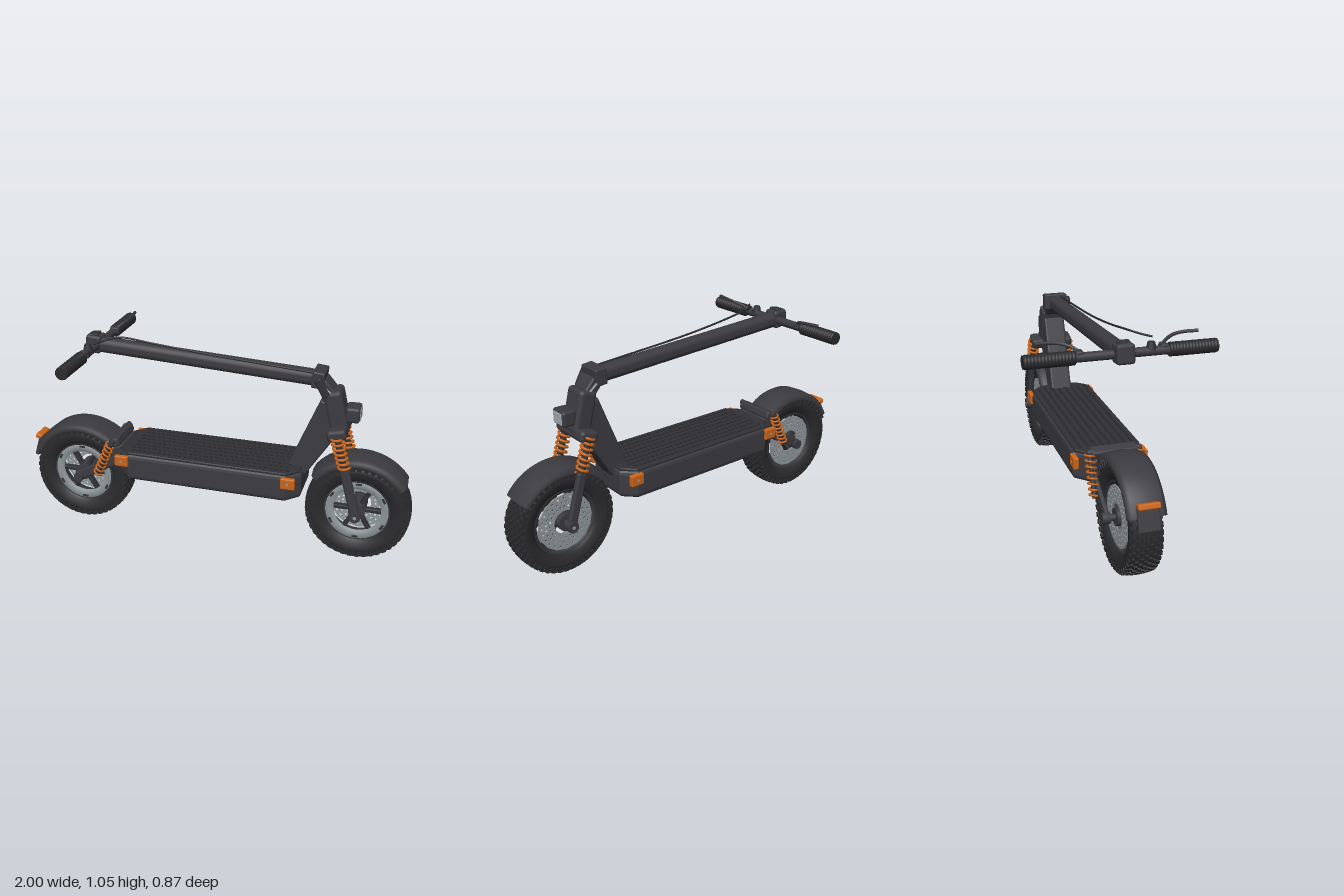
import * as THREE from 'three';
import { mergeGeometries } from 'three/addons/utils/BufferGeometryUtils.js';
import { RoundedBoxGeometry } from 'three/addons/geometries/RoundedBoxGeometry.js';

const V = (x, y, z) => new THREE.Vector3(x, y, z);

// Coil spring running along +y from 0 to length
class Helix extends THREE.Curve {
  constructor(radius, length, turns) { super(); Object.assign(this, { radius, length, turns }); }
  getPoint(t) {
    const a = t * this.turns * Math.PI * 2;
    return V(this.radius * Math.cos(a), t * this.length, this.radius * Math.sin(a));
  }
}

export function createModel() {
  const root = new THREE.Group();
  root.name = 'scooter';
  const mat = (name, color, side = THREE.FrontSide) => {
    const m = new THREE.MeshStandardMaterial({ color, side });
    m.name = name;
    return m;
  };
  const frame = mat('charcoal frame', 0x3c3b40);
  const shell = mat('charcoal shell', 0x3b3a3f, THREE.DoubleSide);
  const rubber = mat('black rubber', 0x2b2b2e);
  const mid = mat('dark plastic', 0x323236);
  const orange = mat('orange', 0xcb6519);
  const metal = mat('grey metal', 0x8f989b, THREE.DoubleSide);
  const glass = mat('lamp glass', 0xa3adb1);

  const add = (name, geo, m, parent = root) => {
    const mesh = new THREE.Mesh(geo, m);
    mesh.name = name;
    parent.add(mesh);
    return mesh;
  };
  const block = (name, m, size, pos, tilt = 0, r = 0.008, parent = root) => {
    const mesh = add(name, new RoundedBoxGeometry(...size, 2, Math.min(r, ...size.map(s => s * 0.49))), m, parent);
    mesh.position.set(...pos);
    mesh.rotation.z = tilt;
    return mesh;
  };
  // Align +y of a mesh with the line from a to b
  const aim = (mesh, a, b) => mesh.quaternion.setFromUnitVectors(V(0, 1, 0), b.clone().sub(a).normalize());
  const rod = (name, m, a, b, r0, r1 = r0, parent = root) => {
    const mesh = add(name, new THREE.CylinderGeometry(r1, r0, a.distanceTo(b), 24), m, parent);
    mesh.position.copy(a).lerp(b, 0.5);
    aim(mesh, a, b);
    return mesh;
  };
  const spring = (name, a, b, r, turns, wire) => {
    const mesh = add(name, new THREE.TubeGeometry(new Helix(r, a.distanceTo(b), turns), turns * 18, wire, 8), orange);
    mesh.position.copy(a);
    aim(mesh, a, b);
  };
  const tube = (name, m, pts, r) =>
    add(name, new THREE.TubeGeometry(new THREE.CatmullRomCurve3(pts.map(p => V(...p))), 40, r, 8), m);
  // Profile of [radius, z] turned about the z axis, between two angles
  const turned = (pts, a0 = 0, a1 = Math.PI * 2, seg = 64) =>
    new THREE.LatheGeometry(pts.map(p => new THREE.Vector2(...p)), seg, a0 + Math.PI / 2, a1 - a0).rotateX(Math.PI / 2);

  // ---- Wheels ----
  const knobs = [];
  const rows = 44;
  for (let i = 0; i < rows; i++) {
    for (let c = -3; c <= 3; c++) {
      const top = 0.262 - 0.0007 * c * c;
      const g = new THREE.BoxGeometry(0.02, 0.024, 0.0155).translate(0, top - 0.012, c * 0.0195);
      knobs.push(g.rotateZ((i + (c % 2 ? 0.5 : 0)) / rows * Math.PI * 2));
    }
    for (const s of [-1, 1]) {
      const g = new THREE.BoxGeometry(0.022, 0.022, 0.012).translate(0, 0.237, s * 0.068);
      knobs.push(g.rotateZ(i / rows * Math.PI * 2));
    }
  }
  const knobGeo = mergeGeometries(knobs);
  const tireGeo = turned([[0.163, -0.045], [0.18, -0.062], [0.215, -0.07], [0.236, -0.066], [0.248, -0.05], [0.253, 0],
    [0.248, 0.05], [0.236, 0.066], [0.215, 0.07], [0.18, 0.062], [0.163, 0.045]]);
  const disc = new THREE.Shape().absarc(0, 0, 0.145, 0, Math.PI * 2);
  disc.holes.push(new THREE.Path().absarc(0, 0, 0.06, 0, Math.PI * 2, true));
  for (let k = 0; k < 3; k++) for (let i = 0; i < 24; i++) {
    const a = (i + k * 0.5) / 24 * Math.PI * 2, r = 0.082 + k * 0.022;
    disc.holes.push(new THREE.Path().absarc(r * Math.cos(a), r * Math.sin(a), 0.0055, 0, Math.PI * 2, true));
  }
  const discGeo = new THREE.ExtrudeGeometry(disc, { depth: 0.006, bevelEnabled: false, curveSegments: 8 });

  const wheel = (name, x) => {
    const w = new THREE.Group();
    w.name = name;
    w.position.set(x, 0.262, 0);
    root.add(w);
    add('tire', tireGeo, rubber, w);
    add('tireKnobs', knobGeo, rubber, w);
    add('rimBarrel', turned([[0.164, -0.048], [0.152, -0.048], [0.146, 0], [0.152, 0.048], [0.164, 0.048]]), shell, w);
    add('rimRing', turned([[0.118, 0.03], [0.118, 0.044], [0.156, 0.05], [0.156, 0.03], [0.118, 0.03]]), metal, w);
    add('brakeDisc', discGeo, metal, w).position.z = -0.05;
    rod('hub', frame, V(0, 0, -0.06), V(0, 0, 0.06), 0.042, 0.042, w);
    rod('axle', frame, V(0, 0, -0.115), V(0, 0, 0.115), 0.016, 0.016, w);
    for (let i = 0; i < 6; i++) {
      const a = i / 6 * Math.PI * 2;
      block('spoke', mid, [0.13, 0.02, 0.03], [0.09 * Math.cos(a), 0.09 * Math.sin(a), 0.02], a, 0.004, w);
      block('rimNotch', mid, [0.012, 0.03, 0.006],
        [0.147 * Math.cos(a + 0.52), 0.147 * Math.sin(a + 0.52), 0.048], a + 0.52, 0.002, w);
    }
  };
  wheel('rearWheel', -0.723);
  wheel('frontWheel', 0.738);

  // ---- Mudguards ----
  const fender = (name, x, half, from, to) => {
    const pts = [[0.25, -half], [0.272, -half], [0.283, -half * 0.8], [0.288, 0], [0.283, half * 0.8], [0.272, half], [0.25, half],
      [0.25, half - 0.006], [0.268, half - 0.006], [0.277, half * 0.75], [0.281, 0], [0.277, -half * 0.75],
      [0.268, 0.006 - half], [0.25, 0.006 - half], [0.25, -half]];
    add(name, turned(pts, from, to, 40), shell).position.set(x, 0.265, 0);
  };
  fender('frontMudguard', 0.735, 0.084, 0.62, 2.5);
  fender('rearMudguard', -0.718, 0.087, 0.5, 2.72);
  block('tailBracket', frame, [0.022, 0.12, 0.1], [-0.978, 0.38, 0], -0.3);
  block('tailLight', orange, [0.036, 0.028, 0.1], [-0.974, 0.434, 0], -0.35);

  // ---- Deck ----
  const outline = (x0, x1, h, c) => {
    const s = new THREE.Shape();
    [[x0 + c, -h], [x1 - c, -h], [x1, -h + c], [x1, h - c], [x1 - c, h], [x0 + c, h], [x0, h - c], [x0, -h + c]]
      .forEach(([x, y], i) => (i ? s.lineTo(x, y) : s.moveTo(x, y)));
    s.closePath();
    return s;
  };
  const slab = (name, m, shape, depth, bevel, y) => {
    const g = new THREE.ExtrudeGeometry(shape, { depth: depth - 2 * bevel, bevelEnabled: true, bevelSize: bevel, bevelThickness: bevel, bevelSegments: 3 });
    add(name, g.rotateX(-Math.PI / 2), m).position.y = y + bevel;
  };
  slab('deckBody', frame, outline(-0.46, 0.44, 0.142, 0.05), 0.145, 0.025, 0.318);
  slab('deckMat', mid, outline(-0.475, 0.45, 0.152, 0.055), 0.016, 0.006, 0.455);
  const studs = [];
  for (let i = 0; i < 30; i++) for (let j = 0; j < 8; j++) {
    studs.push(new THREE.BoxGeometry(0.016, 0.005, 0.014)
      .translate(-0.41 + i * 0.0275 + (j % 2) * 0.01, 0.472, (j - 3.5) * 0.036));
  }
  add('deckStuds', mergeGeometries(studs), rubber);
  for (const s of [-1, 1]) for (const x of [-0.45, 0.41]) {
    block('reflector', orange, [0.072, 0.058, 0.026], [x, 0.424, s * 0.167], 0, 0.007);
    const screw = rod('reflectorScrew', metal, V(x, 0.424, s * 0.178), V(x, 0.424, s * 0.182), 0.007);
    screw.scale.set(1, 1, 1);
  }

  // ---- Rear suspension ----
  block('rearMount', frame, [0.08, 0.1, 0.2], [-0.5, 0.42, 0], 0.2, 0.015);
  block('kickPlate', frame, [0.055, 0.045, 0.22], [-0.515, 0.485, 0], 0.35, 0.012);
  for (const s of [-1, 1]) {
    block('swingArm', frame, [0.29, 0.05, 0.022], [-0.61, 0.33, s * 0.098], 0.52, 0.008);
    rod('axleCap', frame, V(-0.723, 0.262, s * 0.085), V(-0.723, 0.262, s * 0.122), 0.026);
    const a = V(-0.61, 0.305, s * 0.118), b = V(-0.525, 0.49, s * 0.118);
    rod('rearDamper', mid, a, b, 0.011);
    spring('rearSpring', a, b, 0.022, 8, 0.005);
    rod('shockBolt', frame, V(-0.522, 0.492, s * 0.09), V(-0.522, 0.492, s * 0.13), 0.014);
  }

  // ---- Neck and steering head ----
  const neck = new THREE.Shape();
  [[0.385, 0.45], [0.46, 0.42], [0.61, 0.66], [0.60, 0.8], [0.535, 0.82]].forEach(([x, y], i) => (i ? neck.lineTo(x, y) : neck.moveTo(x, y)));
  const neckGeo = new THREE.ExtrudeGeometry(neck, { depth: 0.09, bevelEnabled: true, bevelSize: 0.008, bevelThickness: 0.01, bevelSegments: 2 });
  add('neck', neckGeo.translate(0, 0, -0.045), frame);
  block('steeringHead', frame, [0.092, 0.21, 0.124], [0.602, 0.775, 0], 0.24, 0.022);
  block('forkCrown', frame, [0.095, 0.055, 0.226], [0.62, 0.678, 0], 0.25, 0.018);
  block('headlampBody', frame, [0.07, 0.076, 0.096], [0.682, 0.764, 0], 0, 0.014);
  block('headlampGlass', glass, [0.008, 0.056, 0.07], [0.7155, 0.764, 0], 0, 0.003);

  // ---- Front fork ----
  for (const s of [-1, 1]) {
    const top = V(0.618, 0.68, s * 0.097), low = V(0.668, 0.51, s * 0.097);
    rod('forkDamper', mid, top, low, 0.016);
    spring('forkSpring', low, top, 0.027, 7, 0.0065);
    block('forkLeg', frame, [0.046, 0.27, 0.03], [0.702, 0.385, s * 0.1], 0.27, 0.01);
    rod('forkFoot', frame, V(0.738, 0.262, s * 0.085), V(0.738, 0.262, s * 0.124), 0.028);
    rod('axleBolt', metal, V(0.738, 0.262, s * 0.12), V(0.738, 0.262, s * 0.127), 0.009);
  }

  // ---- Folding hinge and stem ----
  block('hingeLink', frame, [0.06, 0.1, 0.1], [0.555, 0.875, 0], 0.7, 0.01);
  block('hingePlate', metal, [0.07, 0.007, 0.118], [0.548, 0.893, 0], -0.7, 0.003);
  block('hingeBlock', frame, [0.06, 0.082, 0.122], [0.512, 0.928, 0], -0.1, 0.008);
  block('hingeLatch', mid, [0.035, 0.1, 0.026], [0.535, 0.9, 0.072], 0.5, 0.008);
  block('stem', frame, [1.13, 0.076, 0.076], [-0.065, 0.951, 0], -0.052, 0.03);

  // ---- Handlebar ----
  const bx = -0.612, by = 0.978;
  block('barClamp', frame, [0.08, 0.09, 0.084], [-0.628, 0.985, 0], -0.1, 0.014);
  block('displayPod', mid, [0.05, 0.02, 0.06], [-0.63, 1.028, 0], 0.15, 0.008);
  rod('handlebar', frame, V(bx, by, -0.4), V(bx, by, 0.4), 0.021);
  rod('thumbThrottle', mid, V(bx, 0.985, 0.13), V(bx, 1.02, 0.13), 0.025, 0.016);
  const ribs = [[0, 0.21], [0.028, 0.21]];
  for (let i = 0; i < 15; i++) {
    const z = 0.214 + i * 0.0147;
    ribs.push([0.032, z], [0.032, z + 0.008], [0.0285, z + 0.009], [0.0285, z + 0.0145]);
  }
  ribs.push([0.03, 0.435], [0, 0.435]);
  const gripGeo = turned(ribs, 0, Math.PI * 2, 28);
  for (const s of [-1, 1]) {
    const grip = add('grip', gripGeo, rubber);
    grip.position.set(bx, by, 0);
    if (s < 0) grip.rotation.y = Math.PI;
    block('leverMount', frame, [0.05, 0.035, 0.035], [bx + 0.01, 0.99, s * 0.19], 0, 0.01);
    tube('brakeLever', frame, [[-0.6, 0.995, s * 0.18], [-0.575, 1.015, s * 0.215], [-0.555, 1.028, s * 0.26],
      [-0.553, 1.034, s * 0.32], [-0.56, 1.035, s * 0.368]], 0.008);
  }
  tube('brakeCable', rubber, [[-0.575, 1.03, 0.15], [-0.54, 1.035, 0.11], [-0.48, 1.044, 0.06], [-0.3, 1.022, 0.04],
    [-0.05, 0.995, 0.032], [0.25, 0.972, 0.03], [0.49, 0.955, 0.03]], 0.005);

  return root;
}
